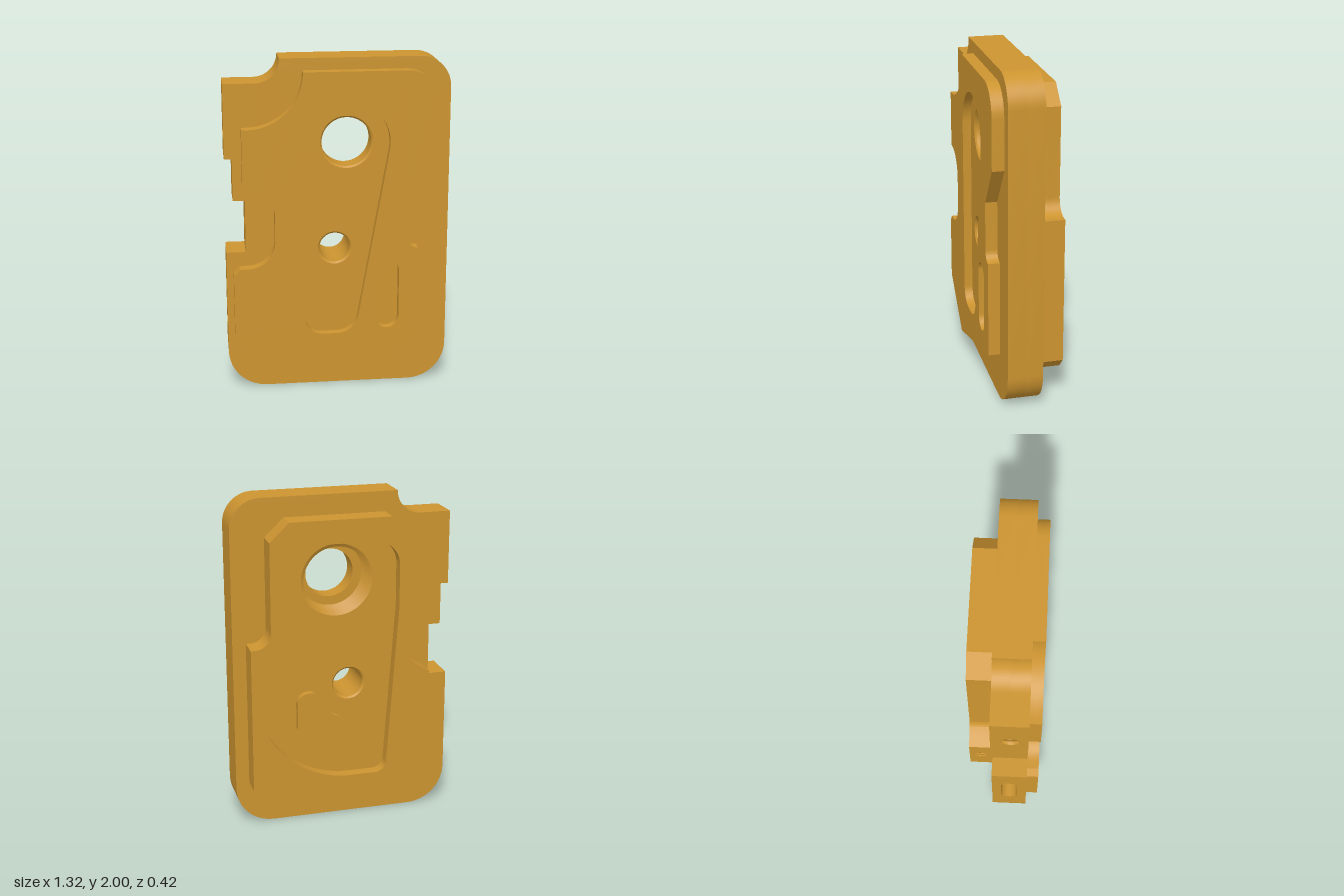
import * as THREE from 'three';
import { toCreasedNormals } from 'three/addons/utils/BufferGeometryUtils.js';

const V = (x, y) => new THREE.Vector2(x, y);

// Closed outline from [x, y, cornerRadius] points; corners become tangent arcs
function outline(pts, steps = 14) {
  const out = [];
  pts.forEach(([x, y, r], i) => {
    const p = V(x, y);
    if (!r) return out.push(p);
    const [ax, ay] = pts[(i + pts.length - 1) % pts.length];
    const [bx, by] = pts[(i + 1) % pts.length];
    const d1 = V(ax, ay).sub(p).normalize(), d2 = V(bx, by).sub(p).normalize();
    const half = Math.acos(d1.dot(d2)) / 2, t = r / Math.tan(half);
    const c = d1.clone().add(d2).normalize().multiplyScalar(r / Math.sin(half)).add(p);
    const s = d1.multiplyScalar(t).add(p).sub(c), e = d2.multiplyScalar(t).add(p).sub(c);
    const a0 = Math.atan2(s.y, s.x);
    let da = Math.atan2(e.y, e.x) - a0;
    if (da > Math.PI) da -= 2 * Math.PI;
    if (da < -Math.PI) da += 2 * Math.PI;
    for (let k = 0; k <= steps; k++) {
      const a = a0 + (da * k) / steps;
      out.push(V(c.x + r * Math.cos(a), c.y + r * Math.sin(a)));
    }
  });
  return out;
}

function arc(cx, cy, r, from, to, steps = 32) {
  return Array.from({ length: steps + 1 }, (_, k) => {
    const a = THREE.MathUtils.degToRad(from + ((to - from) * k) / steps);
    return [cx + r * Math.cos(a), cy + r * Math.sin(a)];
  });
}

const circle = (cx, cy, r) => arc(cx, cy, r, 0, 360, 48).slice(0, -1).map(p => V(...p));

const slot = (x0, x1, y0, y1) => {
  const r = (x1 - x0) / 2 - 0.0005;
  return outline([[x0, y0, r], [x1, y0, r], [x1, y1, r], [x0, y1, r]]);
};

function extrude(points, holes, depth) {
  const shape = new THREE.Shape(points);
  shape.holes = holes.map(h => new THREE.Path(h));
  return new THREE.ExtrudeGeometry(shape, { depth, bevelEnabled: false });
}

// Zigzag thread profile running down the axis from a to b
function thread(rIn, rOut, a, b, turns) {
  return Array.from({ length: turns * 2 + 1 }, (_, i) =>
    V(i % 2 ? rIn : rOut, a + ((b - a) * i) / (turns * 2)));
}

export function createModel() {
  const group = new THREE.Group();
  const amber = new THREE.MeshStandardMaterial({ color: 0xcc9430 });
  amber.name = 'amber';

  const add = (name, geo) => {
    const mesh = new THREE.Mesh(toCreasedNormals(geo, 0.45), amber);
    mesh.name = name;
    group.add(mesh);
    return mesh;
  };
  const layer = (name, points, holes, z0, z1) =>
    add(name, extrude(points, holes, z1 - z0).translate(0, 0, z0));

  const big = [0.05, 1.51], small = [-0.02, 0.87];
  const smallHole = circle(...small, 0.1);
  const boreFront = circle(...big, 0.155), boreBack = circle(...big, 0.215);

  // Main plate, in two layers because the large bore is stepped
  const plate = outline([
    [-0.66, 0, 0.23], [0.66, 0, 0.23], [0.66, 2, 0.18], [-0.335, 2],
    [-0.335, 1.86, 0.14], [-0.48, 1.86], [-0.48, 0.23], [-0.66, 0.23],
  ]);
  layer('plateFront', plate, [boreFront, smallHole], 0.03, 0.14);
  layer('plateBack', plate, [boreBack, smallHole], -0.07, 0.03);

  // Stepped edge blocks with holes drilled in from the side
  const sideBlock = (name, x0, x1, y0, y1, z0, z1, holes) =>
    add(name, extrude([V(-z1, y0), V(-z0, y0), V(-z0, y1), V(-z1, y1)], holes, x1 - x0)
      .rotateY(Math.PI / 2).translate(x0, 0, 0));
  const sideThread = (x0, x1, y, z, r) =>
    add('sideThread', new THREE.LatheGeometry(thread(r * 0.78, r, x1, x0, 6), 28)
      .rotateZ(-Math.PI / 2).translate(0, y, z));

  sideBlock('upperEdgeBlock', -0.66, -0.48, 1.42, 1.86, -0.07, 0.14, [circle(-0.04, 1.585, 0.055)]);
  sideThread(-0.66, -0.48, 1.585, 0.04, 0.055);
  sideBlock('stepEdgeBlock', -0.615, -0.48, 1.17, 1.42, -0.07, 0.14, []);
  sideBlock('middleEdgeBlock', -0.545, -0.48, 0.855, 1.17, -0.07, 0.14, [circle(-0.035, 1.03, 0.055)]);
  sideThread(-0.545, -0.48, 1.03, 0.035, 0.055);
  sideBlock('lowerEdgeBlock', -0.66, -0.48, 0.23, 0.855, -0.07, 0.14, [slot(-0.085, 0.015, 0.375, 0.69)]);

  // Raised front with a tapering pocket and a small slot
  const front = outline([
    [-0.205, 1.93], [-0.205, 1.605, 0.324], [-0.56, 1.605], [-0.56, 1.257, 0.02],
    [-0.375, 1.257, 0.16], [-0.375, 0.77, 0.16], [-0.58, 0.77], [-0.62, 0.73],
    [-0.62, 0.345], [-0.305, 0.08], [0.47, 0.29], [0.47, 0.87],
    [0.405, 0.87, 0.06], [0.405, 1.22], [0.575, 1.46], [0.575, 1.93, 0.175],
  ]);
  const frontPocket = outline([
    [-0.2, 1.76, 0.249], [-0.2, 0.345, 0.1], [0.098, 0.345, 0.13], [0.348, 1.76, 0.249],
  ]);
  layer('frontFloor', front, [boreFront, smallHole], 0.14, 0.16);
  layer('frontRim', front, [frontPocket, slot(0.215, 0.36, 0.37, 0.8)], 0.16, 0.21);

  // Raised back with a rounded pocket
  const back = outline([
    [-0.26, 1.88], [-0.38, 1.77], [-0.38, 1.0, 0.06], [-0.44, 0.96], [-0.505, 0.92],
    [-0.44, 0.92], [-0.44, 0.597], [-0.267, 0.597, 0.165], [-0.267, 0.195],
    [0.51, 0.195], [0.58, 0.265], [0.58, 1.145], [0.46, 1.145, 0.095],
    [0.46, 1.77], [0.345, 1.88],
  ]);
  const backPocket = outline([
    [0.333, 1.74, 0.1], [-0.31, 1.74, 0.15], [-0.31, 1.33], [-0.235, 0.3, 0.07],
    ...arc(...small, 0.57, -90, 0), [0.55, 0.98, 0.1], [0.333, 0.98, 0.04],
  ]);
  layer('backFloor', back, [boreBack, smallHole], -0.14, -0.07);
  layer('backRim', back, [backPocket], -0.21, -0.14);
  sideBlock('backEdgeBlock', -0.505, -0.44, 0.597, 0.92, -0.21, -0.07, [circle(0.14, 0.77, 0.042)]);
  sideThread(-0.505, -0.44, 0.77, -0.14, 0.042);

  // Hooked pad hugging the small bore
  layer('backPad', outline([
    [0.3, 0.84, 0.07], [0.3, 0.62], [0.185, 0.472], [-0.096, 0.472], [-0.096, 0.535],
    ...arc(...small, 0.205, -72, -20, 12), [0.16, 0.84, 0.04],
  ]), [], -0.18, -0.14);

  // Bore linings: chamfered mouths, inner step and thread
  add('largeBore', new THREE.LatheGeometry([
    V(0.155, 0.16), V(0.145, 0.15), V(0.145, 0.03), ...thread(0.195, 0.215, 0.03, -0.14, 7),
  ], 56).rotateX(Math.PI / 2).translate(...big, 0));
  add('smallBore', new THREE.LatheGeometry([
    V(0.1, 0.16), V(0.09, 0.15), V(0.09, -0.13), V(0.1, -0.14),
  ], 48).rotateX(Math.PI / 2).translate(...small, 0));

  return group;
}
